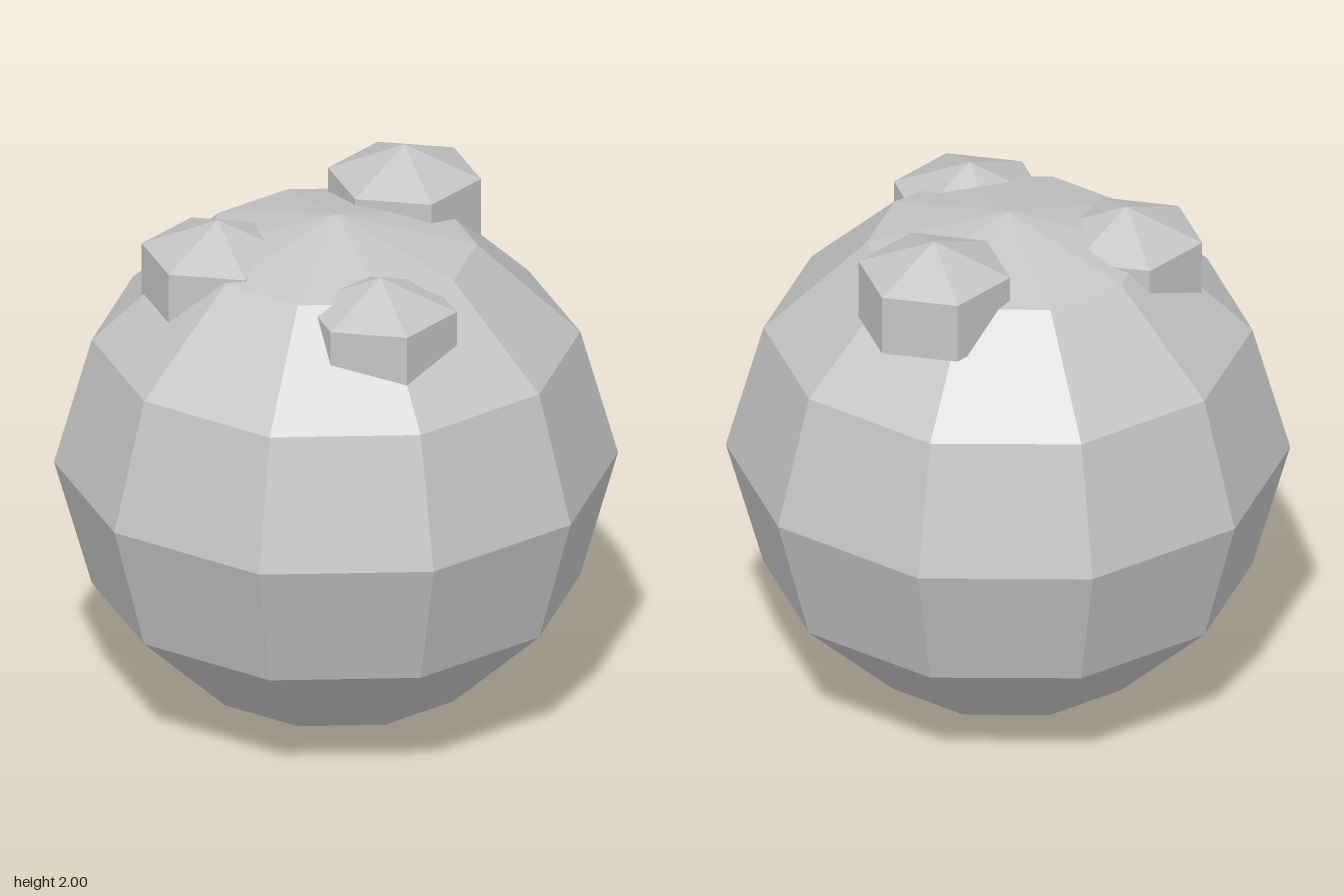
import * as THREE from 'three';

export function createModel() {
  const model = new THREE.Group();
  const grey = new THREE.MeshStandardMaterial({ color: 0xc4c4c4 });
  grey.name = 'light grey';

  // Faceted, slightly squashed ball with a corner facing the front
  function addBall(name, sides, rings, radius, halfHeight, x, y, z) {
    const geometry = new THREE.SphereGeometry(1, sides, rings)
      .rotateY(Math.PI / 2)
      .scale(radius, halfHeight, radius)
      .toNonIndexed();
    geometry.computeVertexNormals();
    const mesh = new THREE.Mesh(geometry, grey);
    mesh.name = name;
    mesh.position.set(x, y, z);
    model.add(mesh);
  }

  // Main body
  addBall('body', 10, 6, 1, 0.955, 0, 0.955, 0);

  // Three hexagonal bumps sunk into the upper body
  const bumps = [
    ['frontBump', 0, 1.638, 0.453],
    ['rightBump', -0.41, 1.685, -0.095],
    ['leftBump', 0.36, 1.773, -0.275],
  ];
  for (const [name, x, y, z] of bumps) addBall(name, 6, 3, 0.3175, 0.227, x, y, z);

  return model;
}
